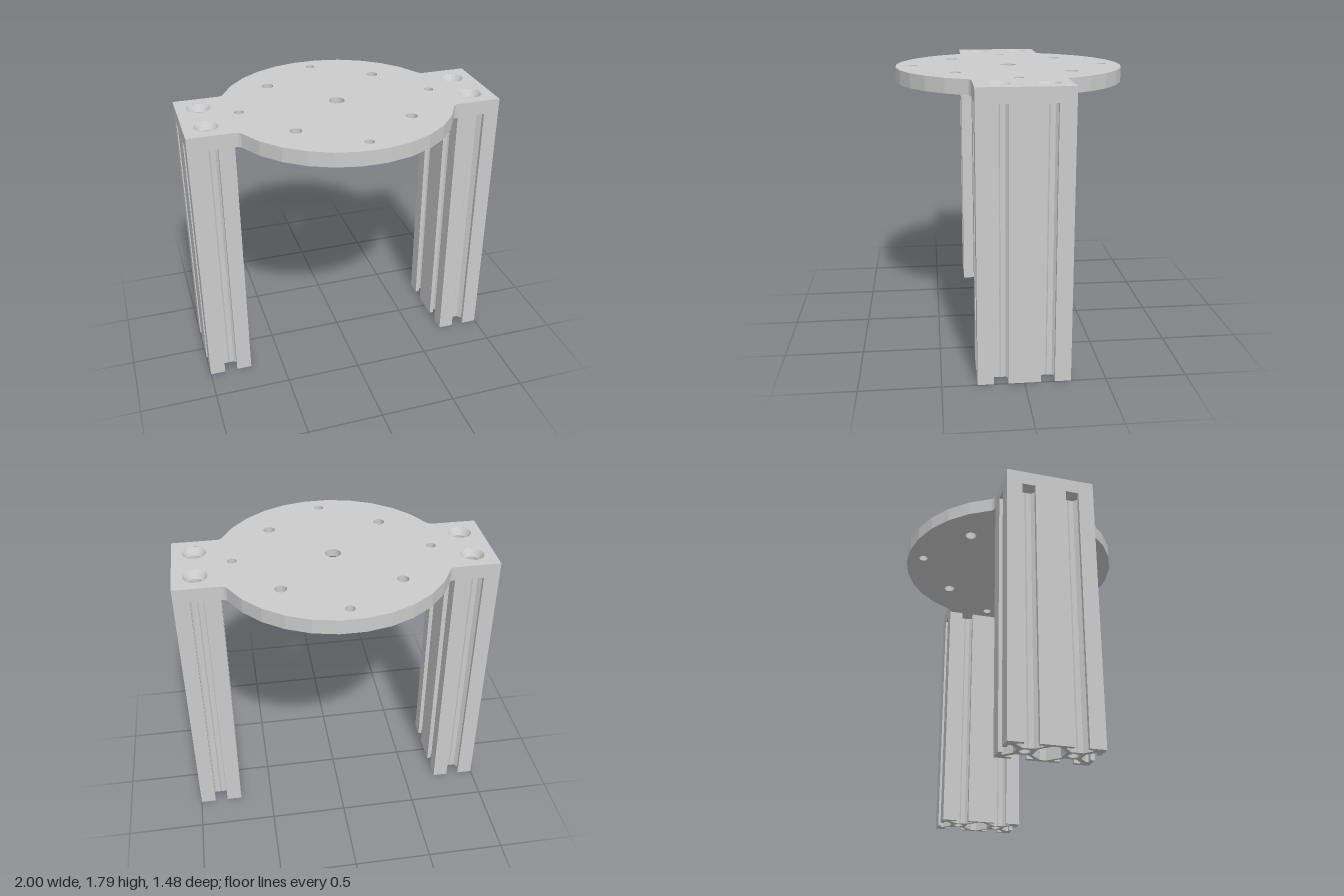
import * as THREE from 'three';
import { toCreasedNormals } from 'three/addons/utils/BufferGeometryUtils.js';

const LEG_H = 1.702, TOP = 1.795, MM = 0.0142;
const material = new THREE.MeshStandardMaterial({ color: 0xcccccc });

function mesh(name, geometry, parent) {
  const m = new THREE.Mesh(geometry, material);
  m.name = name;
  parent.add(m);
  return m;
}

// Mirror a quarter outline (from the +x axis to the +y axis) into a closed loop
function mirrorQuarter(quarter) {
  const rev = [...quarter].reverse();
  const half = [...quarter, ...rev.map(([x, y]) => [-x, y])];
  return [...half, ...[...half].reverse().map(([x, y]) => [x, -y])]
    .map(([x, y]) => new THREE.Vector2(x, y))
    .filter((p, i, a) => p.distanceTo(a[(i + 1) % a.length]) > 1e-6);
}

function circle(x, y, r) {
  return new THREE.Path().absarc(x, y, r, 0, Math.PI * 2, true);
}

// Double slotted rail: T slots, diagonal webs, two bored cores, hollow middle
function railGeometry() {
  const quarter = [
    [10, 7], [8.2, 7], [8.2, 4.5], [7, 4.5], [4, 7.5], [4, 9.7], [3.7, 10], [4, 10.3],
    [4, 12.5], [7, 15.5], [8.2, 15.5], [8.2, 13], [10, 13], [10, 20],
    [3, 20], [3, 18.2], [5.5, 18.2], [5.5, 17], [2.5, 14], [0.3, 14], [0, 13.7],
  ].map(([x, y]) => [x * MM, y * MM]);
  const shape = new THREE.Shape(mirrorQuarter(quarter));
  for (const s of [-1, 1]) shape.holes.push(circle(0, s * 10 * MM, 2.3 * MM));
  const cavity = mirrorQuarter([[8.2 * MM, 1.3 * MM], [3.5 * MM, 6 * MM]]);
  shape.holes.push(new THREE.Path(cavity.reverse()));
  const g = new THREE.ExtrudeGeometry(shape, { depth: LEG_H, bevelEnabled: false, curveSegments: 12 });
  g.rotateX(-Math.PI / 2);
  return toCreasedNormals(g, 0.6);
}

// Disc with a tab on each side
function plateOutline() {
  const quarter = [[1, 0.284], [0.712, 0.284], [0.695, 0.288], [0.683, 0.296]];
  for (let a = 24; a < 90; a += 12) {
    const t = THREE.MathUtils.degToRad(a);
    quarter.push([0.742 * Math.cos(t), 0.742 * Math.sin(t)]);
  }
  return mirrorQuarter(quarter);
}

// Each hole: position, radius at the bottom, radius at the top
function plateHoles() {
  const holes = [{ x: 0, z: 0, bottom: 0.097, top: 0.05 }];
  for (const s of [-1, 1]) {
    holes.push({ x: s * 0.63, z: 0, bottom: 0.03, top: 0.03 });
    holes.push({ x: 0, z: s * 0.63, bottom: 0.03, top: 0.03 });
    for (const t of [-1, 1]) {
      holes.push({ x: s * 0.365, z: t * 0.365, bottom: 0.037, top: 0.037 });
      holes.push({ x: s * 0.858, z: t * 0.142, bottom: 0.043, top: 0.075 });
    }
  }
  return holes;
}

function capGeometry(outline, holes, side) {
  const shape = new THREE.Shape(outline);
  for (const h of holes) shape.holes.push(circle(h.x, side === 'top' ? -h.z : h.z, h[side]));
  const g = new THREE.ShapeGeometry(shape, 24);
  g.rotateX(side === 'top' ? -Math.PI / 2 : Math.PI / 2);
  g.translate(0, side === 'top' ? TOP : LEG_H, 0);
  return g;
}

function rimGeometry(outline) {
  const pos = [];
  outline.forEach((a, i) => {
    const b = outline[(i + 1) % outline.length];
    pos.push(a.x, LEG_H, a.y, a.x, TOP, a.y, b.x, LEG_H, b.y);
    pos.push(b.x, LEG_H, b.y, a.x, TOP, a.y, b.x, TOP, b.y);
  });
  const g = new THREE.BufferGeometry();
  g.setAttribute('position', new THREE.Float32BufferAttribute(pos, 3));
  g.computeVertexNormals();
  return g;
}

// Hole wall, with a conical sink on the wider end
function holeGeometry({ x, z, bottom, top }) {
  const sink = 0.045;
  const profile = [new THREE.Vector2(top, TOP)];
  if (top > bottom) profile.push(new THREE.Vector2(bottom, TOP - sink));
  if (bottom > top) profile.push(new THREE.Vector2(top, LEG_H + sink));
  profile.push(new THREE.Vector2(bottom, LEG_H));
  const g = toCreasedNormals(new THREE.LatheGeometry(profile, 24), 0.5);
  g.translate(x, 0, z);
  return g;
}

export function createModel() {
  const model = new THREE.Group();
  model.name = 'plateStand';

  const plate = new THREE.Group();
  plate.name = 'topPlate';
  model.add(plate);
  const outline = plateOutline();
  const holes = plateHoles();
  mesh('plateTop', capGeometry(outline, holes, 'top'), plate);
  mesh('plateUnderside', capGeometry(outline, holes, 'bottom'), plate);
  mesh('plateRim', rimGeometry(outline), plate);
  holes.forEach((h) => mesh(h.top === h.bottom ? 'boltHole' : 'countersunkHole', holeGeometry(h), plate));

  // Upright rails under the tabs
  const rail = railGeometry();
  for (const s of [-1, 1]) {
    mesh(s > 0 ? 'leftLeg' : 'rightLeg', rail, model).position.x = s * 0.858;
  }
  return model;
}
